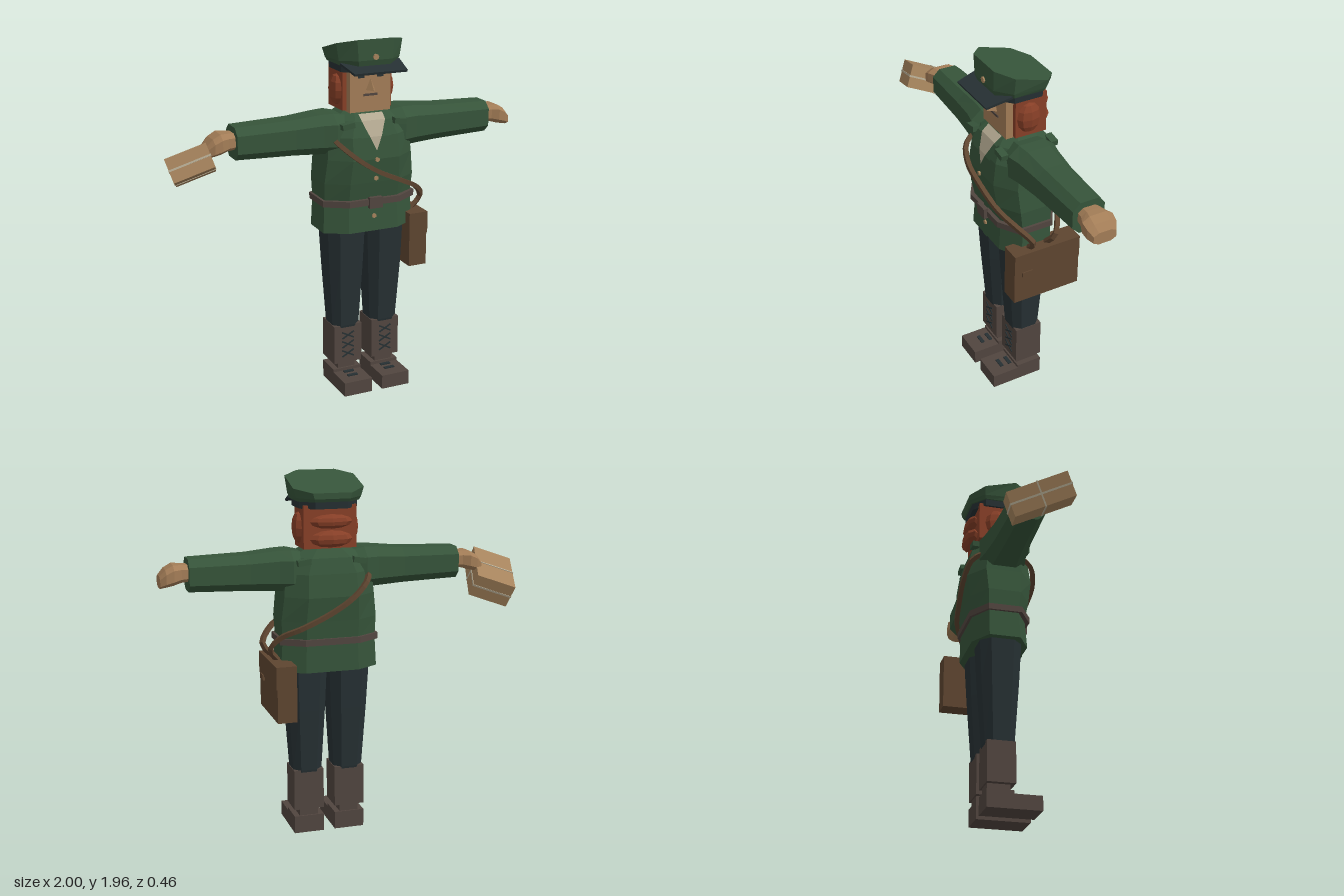
import * as THREE from 'three';

const mat = (name, color, double = false) => {
  const m = new THREE.MeshStandardMaterial({ color, flatShading: true });
  m.name = name;
  if (double) m.side = THREE.DoubleSide;
  return m;
};

export function createModel() {
  const green = mat('jacket green', 0x36543a, true);
  const dark = mat('trouser slate', 0x263033);
  const brown = mat('boot brown', 0x51453f);
  const red = mat('hair red', 0x873f27);
  const skin = mat('skin', 0xa37d57);
  const tan = mat('parcel paper', 0xa5835c);
  const leather = mat('bag leather', 0x5e4530);
  const cream = mat('shirt cream', 0xb3a991, true);

  const model = new THREE.Group();
  model.name = 'postalWorker';
  const CX = 0.12; // body centre line

  const add = (name, geo, material, x = 0, y = 0, z = 0, parent = model) => {
    const m = new THREE.Mesh(geo, material);
    m.name = name;
    m.position.set(x, y, z);
    parent.add(m);
    return m;
  };
  const box = (name, material, w, h, d, x, y, z, parent) =>
    add(name, new THREE.BoxGeometry(w, h, d), material, x, y, z, parent);

  // Octagonal loft; ring = [t, cu, cv, ru, rv, tilt].
  // Along y: u = x, v = z. Along x: u = z, v = y.
  const loft = (rings, along = 'y', k = 0.55) => {
    const oct = [[-k, 1], [k, 1], [1, k], [1, -k], [k, -1], [-k, -1], [-1, -k], [-1, k]];
    const pos = [], idx = [], n = rings.length;
    for (const [t, cu, cv, ru, rv, tilt = 0] of rings)
      for (const [a, b] of oct) {
        const u = cu + a * ru, v = cv + b * rv, h = t + tilt * b * rv;
        pos.push(...(along === 'y' ? [u, h, v] : [h, v, u]));
      }
    const flip = rings[n - 1][0] < rings[0][0];
    const tri = (a, b, c) => idx.push(...(flip ? [a, c, b] : [a, b, c]));
    for (let r = 0; r < n - 1; r++)
      for (let i = 0; i < 8; i++) {
        const j = (i + 1) % 8, a = r * 8, b = a + 8;
        tri(a + i, a + j, b + j);
        tri(a + i, b + j, b + i);
      }
    for (let i = 1; i < 7; i++) {
      tri(0, i + 1, i);
      tri(n * 8 - 8, n * 8 - 8 + i, n * 8 - 7 + i);
    }
    const g = new THREE.BufferGeometry();
    g.setAttribute('position', new THREE.Float32BufferAttribute(pos, 3));
    g.setIndex(idx);
    const flat = g.toNonIndexed();
    flat.computeVertexNormals();
    return flat;
  };

  // Jacket body
  const torso = [
    [0.925, CX, 0, 0.265, 0.155], [1.09, CX, -0.005, 0.255, 0.148], [1.2, CX, 0, 0.26, 0.165],
    [1.33, CX, 0, 0.245, 0.182], [1.45, CX, 0, 0.235, 0.165], [1.53, CX, -0.005, 0.19, 0.135],
    [1.575, CX, -0.015, 0.12, 0.085],
  ];
  add('jacketBody', loft(torso), green);

  // Thin sheets that follow the front of the jacket; row = [y, x0, x1]
  const frontZ = (y) => {
    let i = 0;
    while (i < torso.length - 2 && torso[i + 1][0] < y) i++;
    const [a, b] = [torso[i], torso[i + 1]];
    return THREE.MathUtils.lerp(a[2] + a[4], b[2] + b[4], (y - a[0]) / (b[0] - a[0]));
  };
  const sheet = (name, material, rows, off) => {
    const pos = [], idx = [];
    rows.forEach(([y, x0, x1], i) => {
      const z = frontZ(y) + off;
      pos.push(CX + x0, y, z, CX + x1, y, z);
      const a = i * 2;
      if (i) idx.push(a - 2, a - 1, a + 1, a - 2, a + 1, a);
    });
    const g = new THREE.BufferGeometry();
    g.setAttribute('position', new THREE.Float32BufferAttribute(pos, 3));
    g.setIndex(idx);
    g.computeVertexNormals();
    add(name, g, material);
  };
  sheet('shirtFront', cream, [[1.375, -0.002, 0.002], [1.45, -0.035, 0.035], [1.53, -0.07, 0.07], [1.56, -0.075, 0.075]], 0.005);
  sheet('placket', green, [[0.927, -0.02, 0.022], [1.09, -0.02, 0.022], [1.2, -0.02, 0.022], [1.33, -0.02, 0.022], [1.38, -0.01, 0.01]], 0.006);
  for (const s of [-1, 1]) {
    const rows = [[1.375, 0, 0.01], [1.45, 0.035, 0.085], [1.49, 0.052, 0.115], [1.53, 0.068, 0.1], [1.572, 0.07, 0.09]];
    sheet('lapel', green, rows.map(([y, a, b]) => (s > 0 ? [y, a, b] : [y, -b, -a])), 0.012);
  }
  for (const y of [1.33, 1.225, 1.01]) {
    const b = add('button', new THREE.CylinderGeometry(0.013, 0.013, 0.012, 6), tan, CX, y, frontZ(y) + 0.008);
    b.rotation.x = Math.PI / 2;
  }

  // Belt
  add('belt', loft([[1.073, CX, 0, 0.27, 0.168], [1.107, CX, 0, 0.27, 0.168]]), brown);
  box('buckle', brown, 0.075, 0.06, 0.025, CX, 1.09, 0.173);

  // Neck and head
  add('neck', loft([[1.5, CX, -0.01, 0.075, 0.07], [1.6, CX, -0.01, 0.07, 0.065]]), skin);
  add('shirtCollar', loft([[1.53, CX, -0.01, 0.085, 0.085], [1.585, CX, -0.012, 0.076, 0.073]]), cream);
  box('head', skin, 0.235, 0.245, 0.17, CX, 1.6925, 0.015);
  add('nose', new THREE.ConeGeometry(0.045, 0.06, 3), skin, CX, 1.715, 0.1);
  box('mouth', brown, 0.08, 0.012, 0.006, CX, 1.66, 0.101);

  // Hair
  box('hair', red, 0.285, 0.225, 0.175, CX, 1.69, -0.028);
  const ball = (name, x, y, z, rx, ry, rz) =>
    add(name, new THREE.SphereGeometry(1, 8, 6).scale(rx, ry, rz), red, x, y, z);
  ball('upperHairRoll', CX, 1.72, -0.135, 0.115, 0.038, 0.036);
  ball('lowerHairRoll', CX, 1.63, -0.135, 0.115, 0.045, 0.045);

  // Cap
  add('capBand', loft([[1.785, CX, -0.005, 0.155, 0.138], [1.83, CX, -0.005, 0.158, 0.142]]), dark);
  add('capCrown', loft([
    [1.822, CX, -0.003, 0.165, 0.152], [1.845, CX, -0.003, 0.175, 0.162, 0.04], [1.915, CX, -0.003, 0.19, 0.163, 0.28],
  ]), green);
  const visorShape = new THREE.Shape();
  [[-0.17, 0], [-0.15, -0.14], [0.15, -0.14], [0.17, 0]].forEach(([x, y], i) =>
    i ? visorShape.lineTo(x, y) : visorShape.moveTo(x, y));
  const visor = add('visor', new THREE.ExtrudeGeometry(visorShape, { depth: 0.012, bevelEnabled: false }), dark, CX, 1.825, 0.09);
  visor.rotation.x = -Math.PI / 2 + 0.25;
  const badge = add('capBadge', new THREE.CylinderGeometry(0.016, 0.016, 0.012, 8), tan, CX, 1.868, 0.162);
  badge.rotation.x = Math.PI / 2;

  for (const s of [-1, 1]) {
    // Face and side hair
    box('eye', dark, 0.036, 0.012, 0.006, CX + s * 0.055, 1.757, 0.101);
    box('eyebrow', red, 0.05, 0.012, 0.008, CX + s * 0.055, 1.78, 0.102);
    ball('sideBun', CX + s * 0.142, 1.68, -0.015, 0.038, 0.083, 0.067);

    // Sleeve and hand
    const arm = (rings) => loft(rings.map(([t, y, ry, rz]) => [CX + s * t, 0, y, rz, ry]), 'x');
    add('sleeve', arm([
      [0.08, 1.46, 0.085, 0.1], [0.2, 1.462, 0.108, 0.13], [0.27, 1.463, 0.105, 0.115],
      [0.42, 1.46, 0.094, 0.1], [0.735, 1.46, 0.085, 0.088],
    ]), green);
    add('hand', arm([
      [0.7, 1.47, 0.04, 0.055], [0.77, 1.47, 0.046, 0.065], [0.81, 1.465, 0.052, 0.083],
      [0.85, 1.45, 0.045, 0.08], [0.88, 1.43, 0.032, 0.062],
    ]), skin);
    for (const z of [0.143, -0.143])
      box('collarTab', green, 0.07, 0.03, 0.04, CX + s * 0.15, 1.515, z).rotation.z = -s * 0.15;

    // Trouser leg
    const lx = CX + s * 0.1145;
    add('trouserLeg', loft([
      [0.33, lx, -0.003, 0.076, 0.074], [0.36, lx, -0.003, 0.08, 0.08],
      [0.7, lx + s * 0.002, -0.003, 0.1, 0.103], [0.98, lx + s * 0.004, -0.003, 0.113, 0.118],
    ]), dark);

    // Boot
    box('bootShaft', brown, 0.166, 0.225, 0.155, lx, 0.2475, -0.003);
    box('bootAnkle', brown, 0.105, 0.06, 0.125, lx, 0.11, -0.01);
    box('bootFoot', brown, 0.166, 0.08, 0.297, lx, 0.04, 0.067);
    box('bootInstep', brown, 0.166, 0.02, 0.145, lx, 0.087, -0.009);
    for (let i = 0; i < 3; i++)
      for (const d of [-1, 1])
        box('lace', dark, 0.08, 0.008, 0.006, lx, 0.19 + i * 0.055, 0.076).rotation.z = d * 0.5;
    for (const z of [0.085, 0.135]) box('footLace', dark, 0.06, 0.008, 0.02, lx, 0.082, z);
  }

  // Shoulder bag and strap
  box('bag', leather, 0.105, 0.303, 0.388, 0.388, 0.8375, -0.035);
  box('bagFlap', leather, 0.008, 0.12, 0.388, 0.442, 0.929, -0.035);
  box('bagClasp', leather, 0.012, 0.03, 0.06, 0.446, 0.862, 0.085);
  const strapPath = new THREE.CatmullRomCurve3([
    [0.39, 0.98, 0.05], [0.45, 1.05, 0.055], [0.39, 1.13, 0.12], [0.29, 1.185, 0.168], [0.13, 1.262, 0.192],
    [0.01, 1.34, 0.2], [-0.07, 1.41, 0.16], [-0.1, 1.46, 0],
    [-0.07, 1.41, -0.16], [0.01, 1.33, -0.192], [0.13, 1.25, -0.19], [0.29, 1.17, -0.168],
    [0.39, 1.12, -0.12], [0.44, 1.05, -0.08], [0.39, 0.98, -0.05],
  ].map((p) => new THREE.Vector3(...p)));
  add('bagStrap', new THREE.TubeGeometry(strapPath, 56, 0.017, 4), leather);

  // Tied parcel held in the right hand
  const parcel = new THREE.Group();
  parcel.name = 'parcel';
  const zAxis = new THREE.Vector3(-0.095, 0.11, 0.285).normalize();
  const xAxis = new THREE.Vector3(0.205, 0.072, 0.04).normalize();
  const yAxis = new THREE.Vector3().crossVectors(zAxis, xAxis).normalize();
  xAxis.crossVectors(yAxis, zAxis);
  parcel.quaternion.setFromRotationMatrix(new THREE.Matrix4().makeBasis(xAxis, yAxis, zAxis));
  parcel.position.set(-0.835, 1.36, -0.01);
  box('parcelBox', tan, 0.22, 0.13, 0.32, 0, 0, 0, parcel);
  box('stringAround', cream, 0.226, 0.01, 0.326, 0, 0, 0, parcel);
  box('stringAcross', cream, 0.226, 0.136, 0.008, 0, 0, 0, parcel);
  model.add(parcel);

  return model;
}
